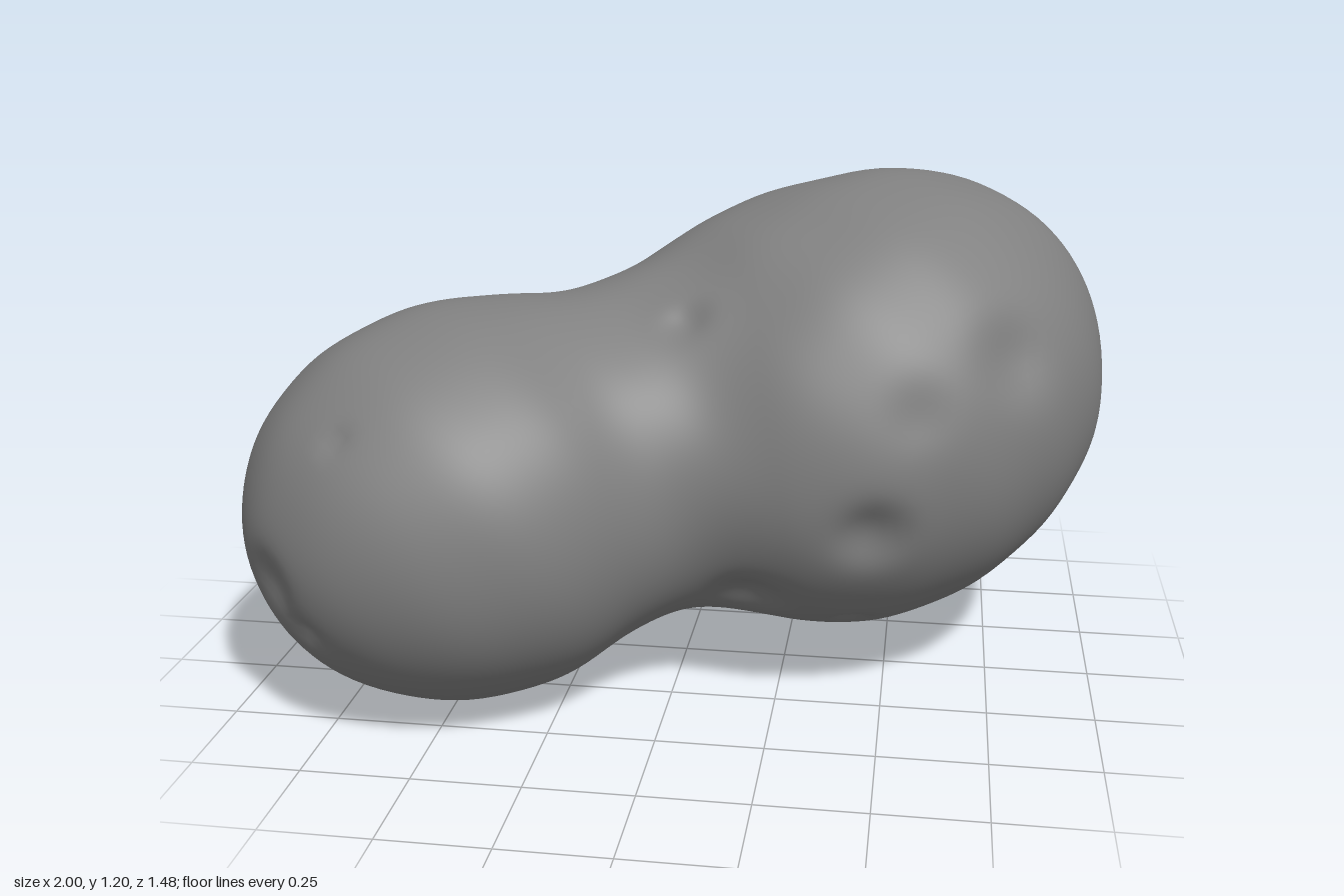
import * as THREE from 'three';
import { mergeVertices } from 'three/addons/utils/BufferGeometryUtils.js';

const V = (x, y, z) => new THREE.Vector3(x, y, z);

// The lobes of the rock: centre, radii, and a slanted axis each is stretched along
const lobe = (c, r, axis, stretch) => ({ c, r, axis: axis.normalize(), squash: 1 - 1 / (1 + stretch) });
const bigLobe = lobe(V(0.425, 0.66, -0.157), V(0.545, 0.521, 0.555), V(1, 0.85, -1), 0.16);
const shoulder = lobe(V(0.17, 0.7, -0.18), V(0.38, 0.38, 0.38), V(1, 0, 0), 0);
const neck = lobe(V(-0.18, 0.55, 0.05), V(0.34, 0.37, 0.34), V(1, 0, 0), 0);
const smallLobe = lobe(V(-0.485, 0.475, 0.23), V(0.5, 0.468, 0.492), V(1, 0.3, -1), 0.08);
const MIDDLE = V(-0.05, 0.56, 0.045);

// Approximate distance to a stretched ellipsoid
function lobeDistance(p, { c, r, axis, squash }) {
  const q = p.clone().sub(c).divide(r);
  q.addScaledVector(axis, -squash * q.dot(axis));
  const k = q.length();
  return k * (k - 1) / Math.max(q.divide(r).length(), 1e-6);
}

// Melt two distances together over a given width
function blend(a, b, width) {
  const h = Math.max(width - Math.abs(a - b), 0) / width;
  return Math.min(a, b) - h * h * width / 4;
}

function smoothDistance(p) {
  const big = blend(lobeDistance(p, bigLobe), lobeDistance(p, shoulder), 0.15);
  const small = blend(lobeDistance(p, smallLobe), lobeDistance(p, neck), 0.15);
  return blend(big, small, 0.22);
}

// Find where a ray leaves the surface, by bisection
function castOut(origin, dir, distance) {
  const p = V(0, 0, 0);
  let near = 0, far = 2;
  for (let i = 0; i < 24; i++) {
    const mid = (near + far) / 2;
    p.copy(origin).addScaledVector(dir, mid);
    if (distance(p) < 0) near = mid; else far = mid;
  }
  return p;
}

// Craters: [side they are seen from, position with that axis ignored, radius, depth]
const craters = [
  ['+z', [0.78, 0.86, 0], 0.11, 0.03],
  ['+z', [0.47, 0.49, 0], 0.09, 0.035],
  ['+z', [0.19, 0.28, 0], 0.09, 0.03],
  ['+z', [0.42, 0.20, 0], 0.05, 0.025],
  ['+z', [0.57, 0.76, 0], 0.10, 0.012],
  ['+z', [-0.85, 0.38, 0], 0.09, 0.025],
  ['+z', [-0.76, 0.28, 0], 0.05, 0.02],
  ['+z', [-0.67, 0.73, 0], 0.04, 0.012],
  ['+x', [0, 0.80, -0.50], 0.07, 0.02],
  ['+x', [0, 0.26, -0.36], 0.06, 0.035],
  ['-z', [0.52, 0.59, 0], 0.10, 0.035],
  ['-z', [-0.42, 0.28, 0], 0.08, 0.02],
  ['-x', [0, 0.37, 0.03], 0.09, 0.025],
  ['-y', [0.54, 0, -0.31], 0.05, 0.025],
  ['-y', [0.46, 0, -0.36], 0.045, 0.02],
  ['+y', [0.03, 0, 0.22], 0.06, 0.015],
  ['+y', [-0.05, 0, -0.25], 0.06, 0.012],
].map(([side, at, radius, depth]) => {
  const axis = side[1];
  const dir = V(0, 0, 0);
  dir[axis] = side[0] === '+' ? 1 : -1;
  const start = V(...at);
  // start at the middle of the lobe the crater belongs to
  const owner = at[0] < -0.2 || side === '-x' ? smallLobe : bigLobe;
  start[axis] = owner.c[axis];
  return { centre: castOut(start, dir, smoothDistance), radius, depth };
});

// Surface with dents, faint rims and slight unevenness
function rockDistance(p) {
  let d = smoothDistance(p);
  for (const { centre, radius, depth } of craters) {
    const t = p.distanceToSquared(centre) / (radius * radius);
    if (t < 8) d += depth * (Math.exp(-t * 1.6) * 1.2 - 0.2 * Math.exp(-t * 0.6));
  }
  return d + 0.003 * Math.sin(9 * p.x + 2) * Math.sin(8 * p.y + 1) * Math.sin(10 * p.z)
    + 0.002 * Math.sin(19 * p.x + 7 * p.y) * Math.sin(17 * p.z - 6 * p.y);
}

export function createModel() {
  const group = new THREE.Group();
  group.name = 'twoLobedRock';
  const stone = new THREE.MeshStandardMaterial({ color: 0x808080 });
  stone.name = 'grey stone';

  // Push a fine sphere around the neck out to the surface
  let geometry = new THREE.IcosahedronGeometry(1, 40);
  geometry.deleteAttribute('normal');
  geometry.deleteAttribute('uv');
  geometry = mergeVertices(geometry, 1e-4);
  const pos = geometry.attributes.position;
  const dir = V(0, 0, 0);
  for (let i = 0; i < pos.count; i++) {
    dir.fromBufferAttribute(pos, i).normalize();
    const p = castOut(MIDDLE, dir, rockDistance);
    pos.setXYZ(i, p.x, p.y, p.z);
  }
  // Stand it on the ground, centred
  geometry.computeBoundingBox();
  const box = geometry.boundingBox, mid = box.getCenter(V(0, 0, 0));
  geometry.translate(-mid.x, -box.min.y, -mid.z);
  geometry.computeVertexNormals();

  const rock = new THREE.Mesh(geometry, stone);
  rock.name = 'rockBody';
  group.add(rock);
  return group;
}
